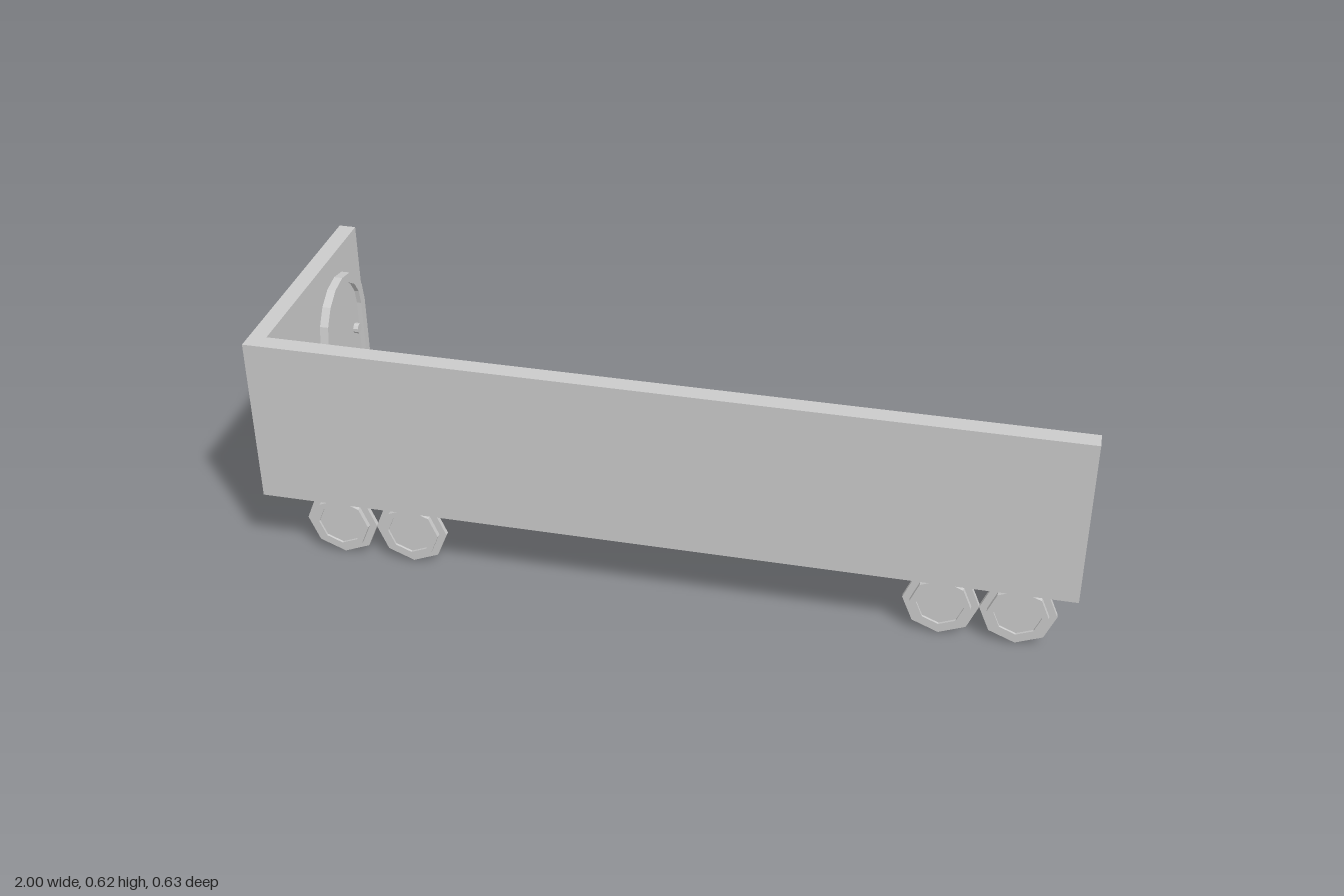
import * as THREE from 'three';

const mat = new THREE.MeshStandardMaterial({ color: 0xcccccc, flatShading: true });

function add(parent, name, geometry, x = 0, y = 0, z = 0) {
  const mesh = new THREE.Mesh(geometry, mat);
  mesh.name = name;
  mesh.position.set(x, y, z);
  parent.add(mesh);
  return mesh;
}

// Box given by its minimum and maximum on each axis
function span(parent, name, x0, x1, y0, y1, z0, z1) {
  return add(parent, name, new THREE.BoxGeometry(x1 - x0, y1 - y0, z1 - z0),
    (x0 + x1) / 2, (y0 + y1) / 2, (z0 + z1) / 2);
}

function group(parent, name, x = 0, y = 0, z = 0) {
  const g = new THREE.Group();
  g.name = name;
  g.position.set(x, y, z);
  parent.add(g);
  return g;
}

const FLOOR = 0.228;
const Z0 = 0.03, Z1 = 0.272; // furniture from aisle to wall

// Pair of I-shaped legs with a cross beam, carrying a top at height y
function legs(parent, name, x, y) {
  const g = group(parent, name, x);
  span(g, 'beam', -0.012, 0.012, y - 0.012, y, Z0, Z1);
  for (const z of [Z0, Z1 - 0.016]) {
    span(g, 'foot', -0.072, 0.072, FLOOR, FLOOR + 0.013, z, z + 0.016);
    span(g, 'post', -0.008, 0.008, FLOOR + 0.013, y - 0.012, z, z + 0.016);
  }
}

// Bench facing the table, side = +1 or -1
function bench(parent, side) {
  const g = group(parent, 'bench');
  const zc = (Z0 + Z1) / 2, depth = Z1 - Z0;
  add(g, 'seat', new THREE.BoxGeometry(0.093, 0.023, depth), side * 0.1745, 0.3085, zc);
  const back = add(g, 'backrest', new THREE.BoxGeometry(0.02, 0.09, depth), side * 0.217, 0.354, zc);
  back.rotation.z = -side * 0.2;
  legs(g, 'benchLegs', side * 0.17, 0.297);
}

// Outline of an arched doorway around z = 0, from the floor up
function archPoints(r, bottom, spring) {
  const pts = [new THREE.Vector2(-r, bottom), new THREE.Vector2(r, bottom)];
  for (let i = 0; i <= 8; i++) {
    const a = (i * Math.PI) / 8;
    pts.push(new THREE.Vector2(r * Math.cos(a), spring + r * Math.sin(a)));
  }
  return pts;
}

function extrude(shape, depth) {
  return new THREE.ExtrudeGeometry(shape, { depth, bevelEnabled: false });
}

export function createModel() {
  const model = new THREE.Group();
  model.name = 'railCarriage';

  // Open carriage shell: floor, one long wall, one end wall
  const shell = group(model, 'shell');
  span(shell, 'floor', -1, 1, 0.185, FLOOR, -0.317, 0.317);
  span(shell, 'longWall', -1, 1, FLOOR, 0.617, 0.272, 0.317);
  span(shell, 'endWall', -1, -0.957, FLOOR, 0.617, -0.317, 0.272);

  // Arched door on the inside of the end wall
  const door = group(model, 'door', -0.957, 0, -0.15);
  door.rotation.y = Math.PI / 2;
  const frame = new THREE.Shape(archPoints(0.13, FLOOR, 0.426));
  frame.holes.push(new THREE.Path(archPoints(0.104, FLOOR + 0.0005, 0.426)));
  add(door, 'doorFrame', extrude(frame, 0.022));
  add(door, 'doorPanel', extrude(new THREE.Shape(archPoints(0.104, FLOOR, 0.426)), 0.01));
  const knob = add(door, 'doorKnob', new THREE.CylinderGeometry(0.014, 0.014, 0.014, 10), 0.075, 0.365, 0.016);
  knob.rotation.x = Math.PI / 2;

  // Four bays, each with a window, a table and two facing benches
  for (let i = 0; i < 4; i++) {
    const bay = group(model, 'bay', -0.708 + i * 0.4867);
    const table = group(bay, 'table');
    span(table, 'tableTop', -0.098, 0.098, 0.338, 0.36, Z0, Z1);
    legs(table, 'tableLegs', 0, 0.338);
    bench(bay, 1);
    bench(bay, -1);

    const w = 0.143, y0 = 0.388, y1 = 0.536, t = 0.018;
    const win = group(bay, 'window');
    for (const y of [y0, y1 - t]) span(win, 'windowRail', -w, w, y, y + t, 0.263, 0.272);
    for (const x of [-w, w - t]) span(win, 'windowStile', x, x + t, y0 + t, y1 - t, 0.263, 0.272);
    span(win, 'windowPane', -w + t, w - t, y0 + t, y1 - t, 0.27, 0.272);
  }

  // Eight-sided wheels with a raised centre flange and dished faces
  const half = [[0.0915, 0.006], [0.073, 0.006], [0.073, 0.019], [0.057, 0.019], [0.057, 0.013], [0, 0.013]];
  const profile = [
    ...half.slice().reverse().map(([r, h]) => new THREE.Vector2(r, -h)),
    ...half.map(([r, h]) => new THREE.Vector2(r, h)),
  ];
  const wheelGeometry = new THREE.LatheGeometry(profile, 8);
  for (const x of [-0.823, -0.64, 0.683, 0.866]) {
    for (const z of [0.256, -0.299]) {
      add(model, 'wheel', wheelGeometry, x, 0.0925, z).rotation.x = Math.PI / 2;
    }
  }
  return model;
}
